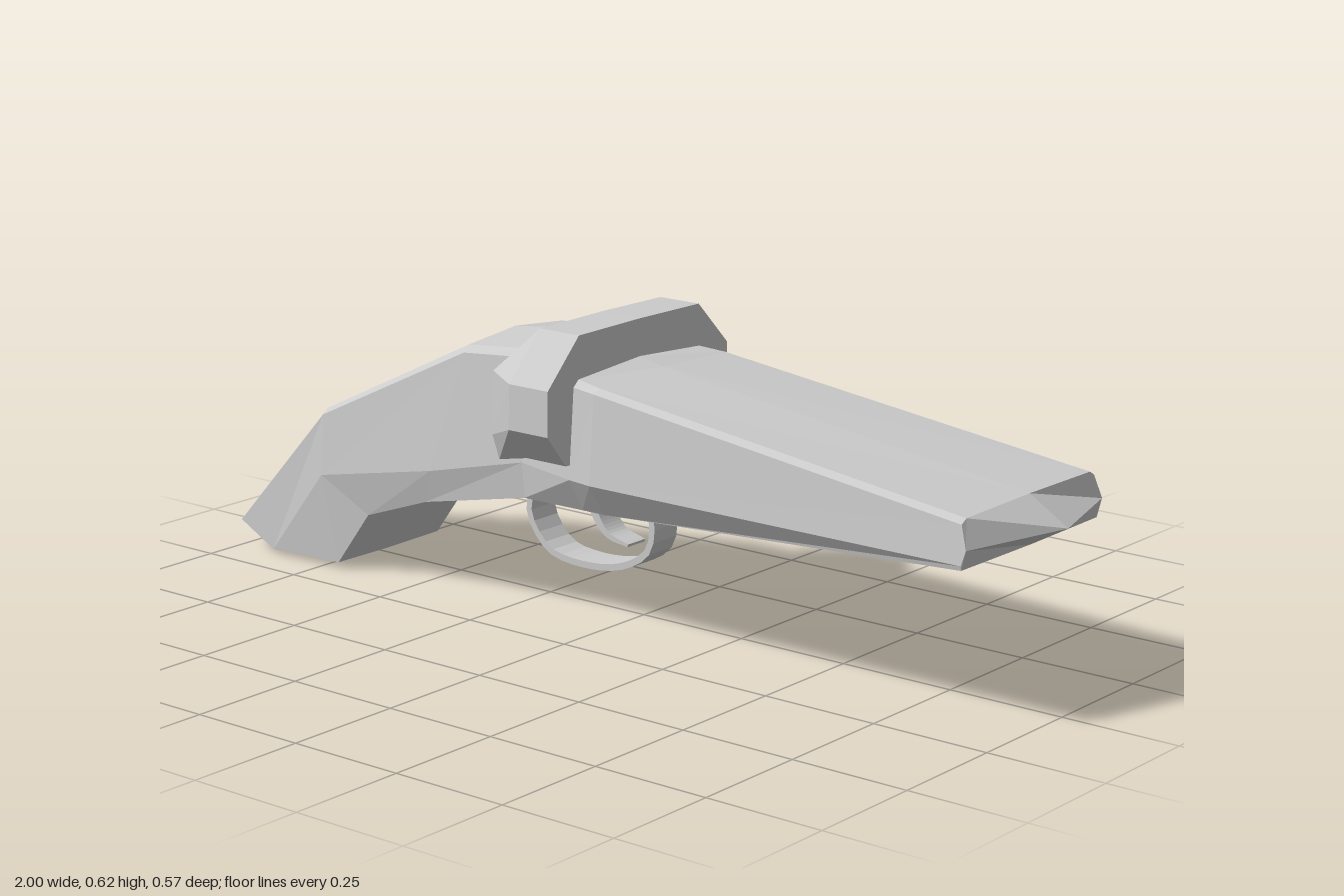
import * as THREE from 'three';

const material = new THREE.MeshStandardMaterial({ color: 0xcccccc, flatShading: true });

// Mirrors half a section (top centre ... bottom centre) into a closed ring.
const ring = (half) => [...half, ...half.slice(1, -1).reverse().map(([x, y, z]) => [x, y, -z])];

// Skins rings that follow one another along +x; each end closes on an optional cap point.
function loft(rings, startCap, endCap) {
  const pos = [];
  const tri = (a, b, c) => pos.push(...a, ...b, ...c);
  const n = rings[0].length;
  for (let j = 0; j < n; j++) {
    const k = (j + 1) % n;
    for (let i = 0; i < rings.length - 1; i++) {
      const a = rings[i], b = rings[i + 1];
      tri(a[j], a[k], b[j]);
      tri(a[k], b[k], b[j]);
    }
    if (startCap) tri(startCap, rings[0][k], rings[0][j]);
    if (endCap) tri(endCap, rings.at(-1)[j], rings.at(-1)[k]);
  }
  const g = new THREE.BufferGeometry();
  g.setAttribute('position', new THREE.Float32BufferAttribute(pos, 3));
  g.computeVertexNormals();
  return g;
}

// Flat strip that follows a curve in the xy plane, tapering from t0 to t1 thick.
function strip(points, t0, t1, width) {
  const curve = new THREE.CatmullRomCurve3(points.map(([x, y]) => new THREE.Vector3(x, y, 0)));
  const left = [], right = [], steps = 22;
  for (let i = 0; i <= steps; i++) {
    const u = i / steps, p = curve.getPointAt(u), d = curve.getTangentAt(u);
    const h = (t0 + (t1 - t0) * u) / 2;
    left.push(new THREE.Vector2(p.x - d.y * h, p.y + d.x * h));
    right.unshift(new THREE.Vector2(p.x + d.y * h, p.y - d.x * h));
  }
  const g = new THREE.ExtrudeGeometry(new THREE.Shape([...left, ...right]), { depth: width, bevelEnabled: false });
  return g.translate(0, 0, -width / 2);
}

export function createModel() {
  const group = new THREE.Group();
  const add = (name, geometry) => {
    const mesh = new THREE.Mesh(geometry, material);
    mesh.name = name;
    group.add(mesh);
  };

  // Stock and barrel: top, widest and bottom lines as [x, y, half width], plus the crown height
  const stations = [
    [[-1, 0.07, 0.155], [-0.9, 0.01, 0.16], [-0.71, 0.015, 0.155], 0.004],
    [[-0.74, 0.355, 0.16], [-0.74, 0.205, 0.17], [-0.62, 0.135, 0.155], 0.012],
    [[-0.34, 0.555, 0.158], [-0.42, 0.27, 0.178], [-0.45, 0.195, 0.16], 0.02],
    [[-0.15, 0.577, 0.16], [-0.17, 0.33, 0.178], [-0.17, 0.255, 0.17], 0.025],
    [[-0.01, 0.54, 0.205], [-0.01, 0.33, 0.22], [-0.01, 0.26, 0.18], 0.018],
    [[0.05, 0.527, 0.215], [0.05, 0.33, 0.23], [0.05, 0.262, 0.185], 0.008],
    [[0.915, 0.418, 0.222], [0.92, 0.332, 0.23], [0.92, 0.323, 0.228], 0.003],
  ];
  const body = stations.map(([t, m, b, crown]) => ring([
    [t[0], t[1], 0],
    [t[0], t[1] - crown * 0.7, t[2] - 0.015],
    [t[0], t[1] - crown - 0.008, t[2]],
    m, b, [b[0], b[1] - 0.002, 0],
  ]));
  // Wedge-shaped muzzle ridge
  const side = [0.93, 0.362, 0.229], tip = [1, 0.366, 0];
  body.push(ring([tip, side, side, side, side, tip]));
  add('stockAndBarrel', loft(body, [-0.9, 0.002, 0]));

  // Faceted collar with side lobes
  const collarHalf = (x) => [[x, 0.617, 0], [x, 0.615, 0.188], [x, 0.52, 0.282],
    [x, 0.428, 0.284], [x, 0.36, 0.23], [x, 0.35, 0]];
  const collarBack = [[-0.2, 0.54, 0], [-0.2, 0.54, 0.16], [-0.21, 0.52, 0.215],
    [-0.21, 0.39, 0.22], [-0.21, 0.335, 0.2], [-0.21, 0.33, 0]];
  add('collar', loft([ring(collarBack), ring(collarHalf(-0.11)), ring(collarHalf(-0.01))],
    [-0.21, 0.43, 0], [-0.01, 0.48, 0]));

  // Trigger guard and trigger
  add('triggerGuard', strip([[-0.255, 0.26], [-0.275, 0.18], [-0.225, 0.11], [-0.14, 0.093],
    [-0.03, 0.107], [0.038, 0.15], [0.05, 0.21], [0.03, 0.275]], 0.014, 0.014, 0.073));
  add('trigger', strip([[-0.125, 0.28], [-0.11, 0.21], [-0.075, 0.165], [-0.02, 0.15]], 0.03, 0.006, 0.055));

  return group;
}
